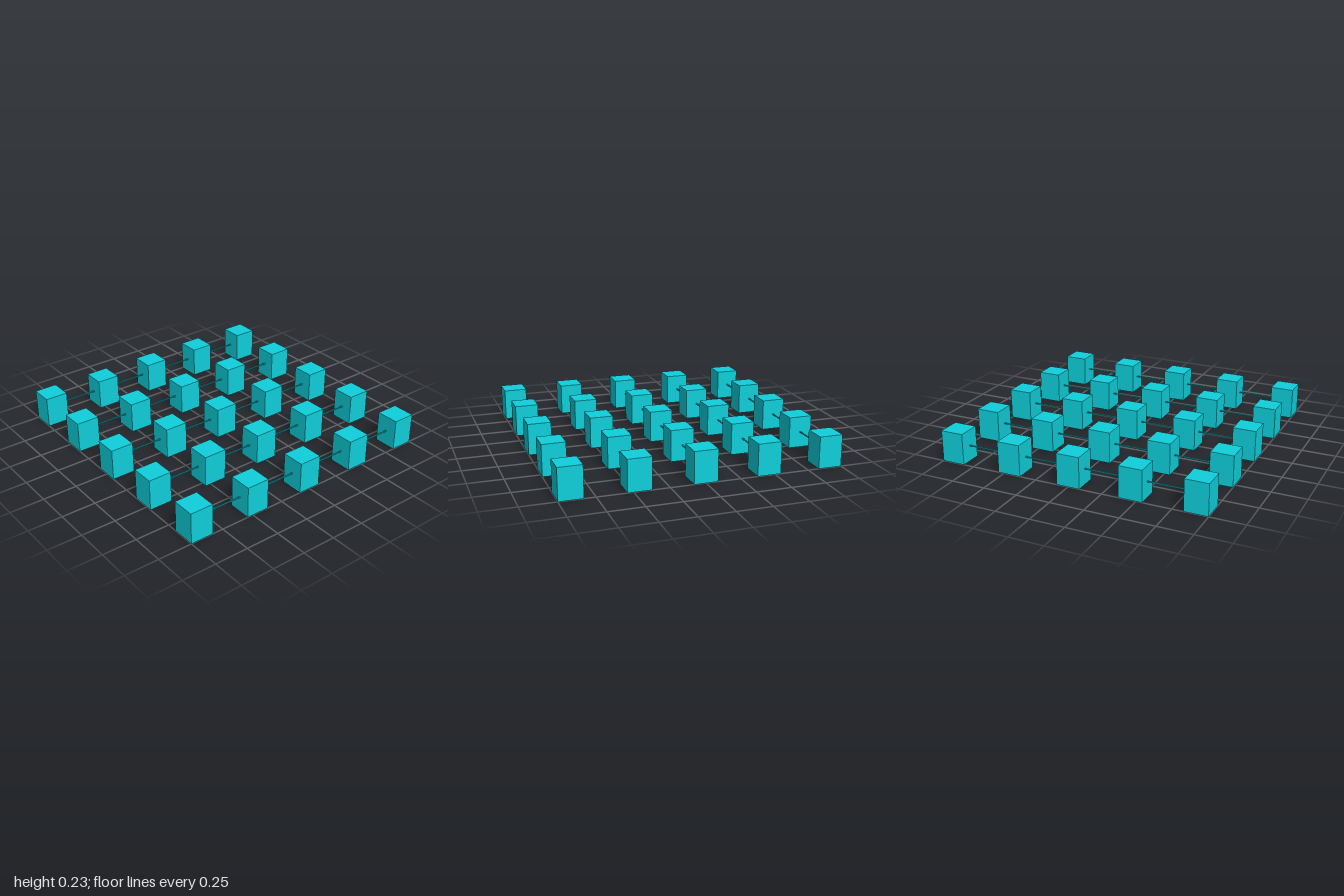
import * as THREE from 'three';

const COUNT = 5;
const WIDTH = 0.17;
const HEIGHT = 0.23;
const SPACING = (2 - WIDTH) / (COUNT - 1);
const ROD = 0.008;

export function createModel() {
  const model = new THREE.Group();
  model.name = 'blockGrid';
  const material = new THREE.MeshStandardMaterial({ color: 0x0fcfdb });
  const blockGeometry = new THREE.BoxGeometry(WIDTH, HEIGHT, WIDTH);
  const rodGeometry = new THREE.BoxGeometry(SPACING - WIDTH, ROD, ROD);

  const at = (i) => (i - (COUNT - 1) / 2) * SPACING;
  const add = (parent, name, geometry, x) => {
    const mesh = new THREE.Mesh(geometry, material);
    mesh.name = name;
    mesh.position.x = x;
    parent.add(mesh);
  };

  // Rows of blocks, joined along x by thin rods
  for (let r = 0; r < COUNT; r++) {
    const row = new THREE.Group();
    row.name = `row${r + 1}`;
    row.position.set(0, HEIGHT / 2, at(r));
    for (let c = 0; c < COUNT; c++) {
      add(row, 'block', blockGeometry, at(c));
      if (c < COUNT - 1) add(row, 'connectingRod', rodGeometry, at(c + 0.5));
    }
    model.add(row);
  }
  return model;
}
